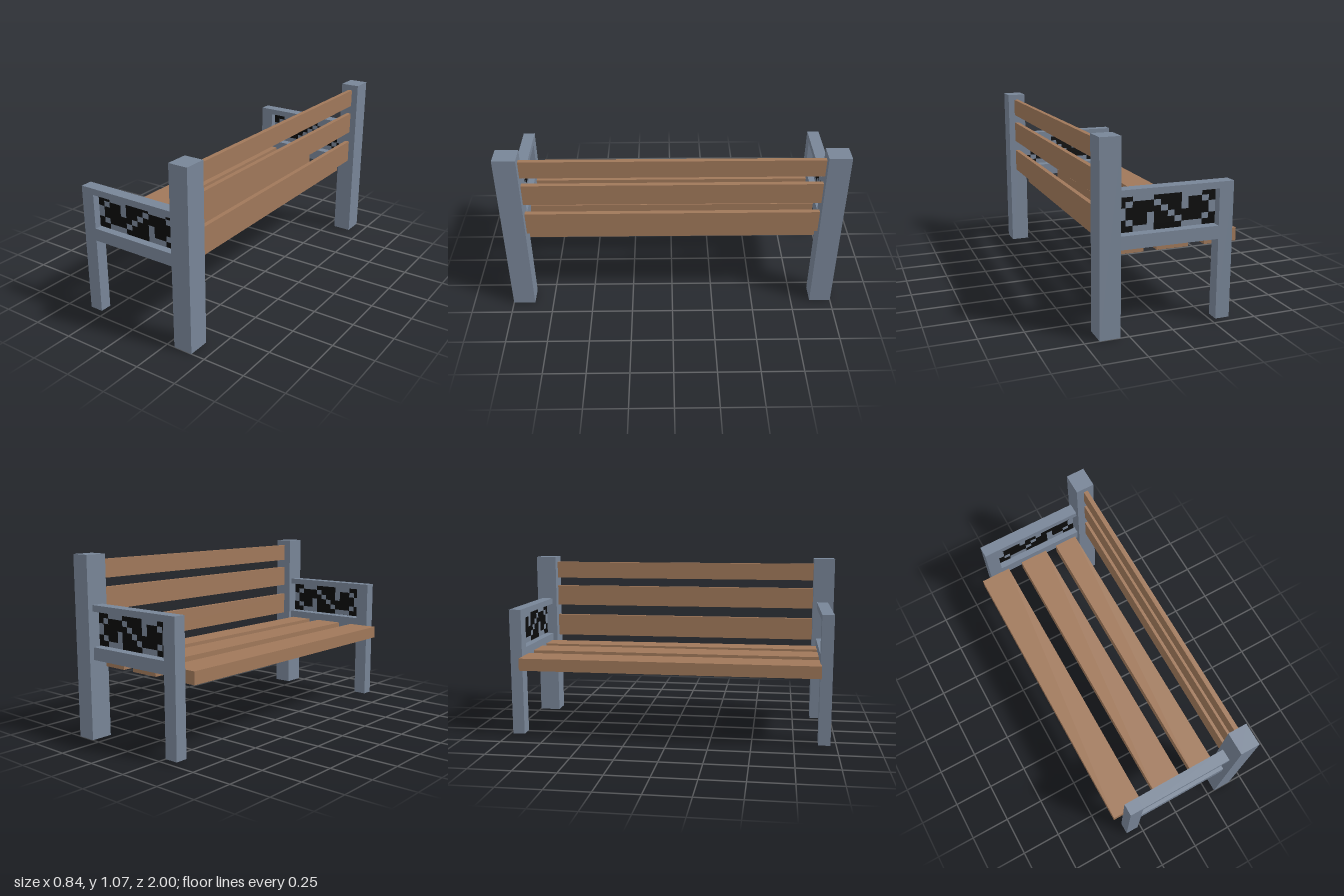
import * as THREE from 'three';

const mat = (name, color) => {
  const m = new THREE.MeshStandardMaterial({ color });
  m.name = name;
  return m;
};

// Ornament of the armrest panels: # is black, . is frame grey
const PATTERN = [
  '##...####...##',
  '#.##.###.###.#',
  '.###.##.#####.',
  '.#####.##.###.',
  '#.###.###.##.#',
  '##...####...##',
];

export function createModel() {
  const grey = mat('slate grey metal', 0x788597);
  const wood = mat('brown wood', 0xa0785a);
  const black = mat('black panel', 0x0b0b0b);
  grey.side = black.side = THREE.DoubleSide;

  const model = new THREE.Group();
  model.name = 'bench';

  // Box given by its limits along each axis
  const box = (parent, name, material, [x0, x1], [y0, y1], [z0, z1]) => {
    const mesh = new THREE.Mesh(new THREE.BoxGeometry(x1 - x0, y1 - y0, z1 - z0), material);
    mesh.position.set((x0 + x1) / 2, (y0 + y1) / 2, (z0 + z1) / 2);
    mesh.name = name;
    parent.add(mesh);
  };

  // Thin panel made of horizontal runs of one colour
  const panel = (parent, z) => {
    const group = new THREE.Group();
    group.name = 'armrestPanel';
    const left = -0.265, top = 0.743;
    const w = 0.555 / 14, h = 0.194 / PATTERN.length;
    PATTERN.forEach((row, r) => {
      let start = 0;
      for (let end = 1; end <= row.length; end++) {
        if (row[end] === row[start]) continue;
        const isBlack = row[start] === '#';
        const mesh = new THREE.Mesh(new THREE.PlaneGeometry((end - start) * w, h), isBlack ? black : grey);
        mesh.position.set(left + ((start + end) / 2) * w, top - (r + 0.5) * h, z);
        mesh.name = isBlack ? 'panelBlack' : 'panelScroll';
        group.add(mesh);
        start = end;
      }
    });
    parent.add(group);
  };

  // End frames: back post, front leg, armrest, lower rail and panel
  const ends = [
    { name: 'leftEnd', post: [0.867, 1], frame: [0.892, 0.963] },
    { name: 'rightEnd', post: [-1, -0.869], frame: [-0.971, -0.898] },
  ];
  for (const { name, post, frame } of ends) {
    const end = new THREE.Group();
    end.name = name;
    box(end, 'backPost', grey, [0.3, 0.416], [0, 1.065], post);
    box(end, 'frontLeg', grey, [-0.354, -0.271], [0.01, 0.783], frame);
    box(end, 'armrest', grey, [-0.271, 0.3], [0.746, 0.783], frame);
    box(end, 'lowerRail', grey, [-0.271, 0.3], [0.468, 0.542], frame);
    panel(end, (frame[0] + frame[1]) / 2);
    model.add(end);
  }

  // Seat slats
  for (const x of [[-0.419, -0.225], [-0.129, 0.056], [0.132, 0.281]])
    box(model, 'seatSlat', wood, x, [0.422, 0.496], [-0.898, 0.896]);

  // Backrest slats
  for (const y of [[0.526, 0.667], [0.735, 0.868], [0.922, 1.03]])
    box(model, 'backSlat', wood, [0.348, 0.375], y, [-0.872, 0.87]);

  return model;
}
